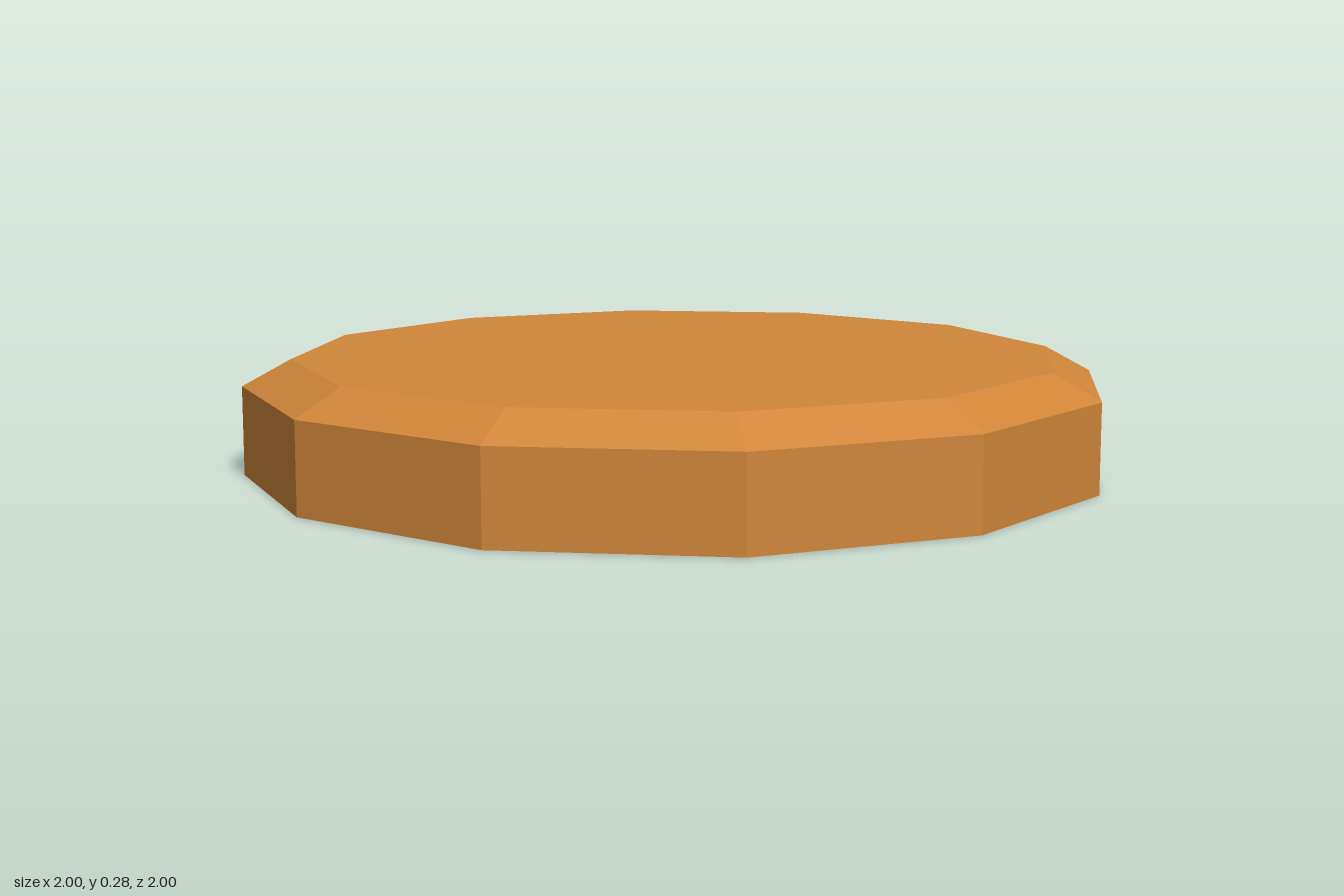
import * as THREE from 'three';

const mat = (name, color) =>
  Object.assign(new THREE.MeshStandardMaterial({ color, flatShading: true }), { name });

export function createModel() {
  const model = new THREE.Group();
  const crust = mat('crust orange', 0xd08639);
  const slate = mat('slate', 0x667285);
  const green = mat('green', 0x45cc8a);
  const blue = mat('blue', 0x5ab0e0);
  const pink = mat('dusty pink', 0xc49c8c);
  const gold = mat('gold', 0xfdc757);

  const add = (name, geometry, material, x = 0, y = 0, z = 0) => {
    const mesh = new THREE.Mesh(geometry, material);
    mesh.name = name;
    mesh.position.set(x, y, z);
    model.add(mesh);
  };
  const turned = (points) => new THREE.LatheGeometry(
    points.map(([r, y]) => new THREE.Vector2(r, y)), 12, Math.PI / 12);

  // Twelve-sided bevelled lid, hollow from below
  add('lidShell', turned([
    [0.92, 0.14], [0.92, 0], [1.035, 0], [1.035, 0.213], [0.921, 0.275], [0, 0.275],
  ]), crust);

  // Sloped lining inside the lid
  add('innerLining', turned([[0, 0.22], [0.65, 0.22], [0.92, 0.14]]), gold);

  // Octagonal underside plate in two pieces, with an open slot beside the centre bar
  const bottom = 0.077, depth = 0.045, R = 0.81, D = R * Math.SQRT1_2;
  const plate = (name, z0, side) => {
    const w = R - (R - D) * z0 / D;
    const shape = new THREE.Shape([[-w, z0], [w, z0], [D, D], [0, R], [-D, D]]
      .map(([x, z]) => new THREE.Vector2(x, z * side)));
    const g = new THREE.ExtrudeGeometry(shape, { depth, bevelEnabled: false });
    g.rotateX(Math.PI / 2);
    add(name, g, [slate, green], 0, bottom + depth, 0);
  };
  plate('frontPlate', 0.109, 1);
  plate('backPlate', 0.3, -1);
  add('centreBar', new THREE.BoxGeometry(1.54, 0.045, 0.218),
    [pink, pink, slate, slate, blue, blue], 0, 0.0755, 0);
  add('slotFloor', new THREE.BoxGeometry(1.46, 0.01, 0.2), pink, 0, 0.103, -0.205);

  // Thin inlaid trim along the front and back of the plate
  for (const start of [Math.PI / 12 * 5, Math.PI / 12 * 17]) {
    const trim = new THREE.RingGeometry(0.717, 0.731, 3, 1, start, Math.PI / 2);
    trim.rotateX(Math.PI / 2);
    add('trimLine', trim, crust, 0, bottom - 0.002, 0);
  }
  return model;
}
